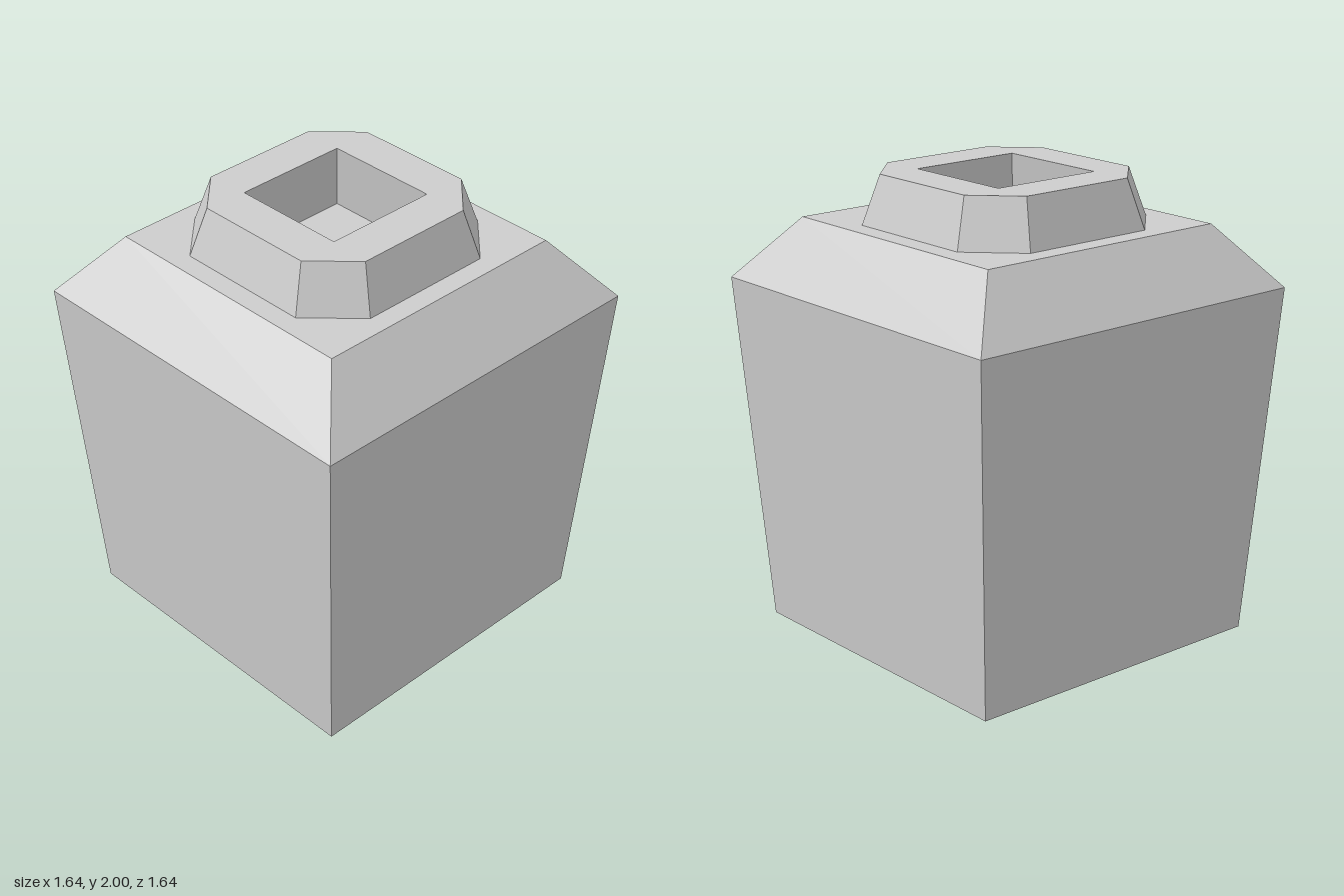
import * as THREE from 'three';

const grey = new THREE.MeshStandardMaterial({ color: 0xcccccc, flatShading: true });
grey.name = 'plain grey';

function part(name, geometry) {
  const flat = geometry.index ? geometry.toNonIndexed() : geometry;
  flat.computeVertexNormals();
  const mesh = new THREE.Mesh(flat, grey);
  mesh.name = name;
  return mesh;
}

// Square-plan solid from a profile of [half width, height]
function squareLathe(profile) {
  const points = profile.map(([w, y]) => new THREE.Vector2(w * Math.SQRT2, y));
  return new THREE.LatheGeometry(points, 4, Math.PI / 4);
}

// Square with cut corners: a = half width, b = half length of each flat side
function octagon(a, b) {
  return [[a, b], [b, a], [-b, a], [-a, b], [-a, -b], [-b, -a], [b, -a], [a, -b]];
}

// Sloping sides between two octagons
function octagonSides(lower, yLow, upper, yHigh) {
  const positions = [];
  for (let i = 0; i < 8; i++) {
    const j = (i + 1) % 8;
    const p = [lower[i][0], yLow, lower[i][1]];
    const q = [lower[j][0], yLow, lower[j][1]];
    const r = [upper[j][0], yHigh, upper[j][1]];
    const s = [upper[i][0], yHigh, upper[i][1]];
    positions.push(...p, ...r, ...q, ...p, ...s, ...r);
  }
  const geometry = new THREE.BufferGeometry();
  geometry.setAttribute('position', new THREE.Float32BufferAttribute(positions, 3));
  return geometry;
}

export function createModel() {
  const model = new THREE.Group();
  model.name = 'jar';
  const baseY = 1.79, topY = 2, hole = 0.257, wellFloor = 0.3;

  // Tapered body with sloped shoulders, open beneath the neck
  model.add(part('body', squareLathe([[0, 0], [0.72, 0], [0.82, 1.525], [0.6, baseY], [0.3, baseY]])));

  // Neck with cut corners
  const rim = octagon(0.443, 0.27);
  const neck = new THREE.Group();
  neck.name = 'neck';
  neck.add(part('neckSides', octagonSides(octagon(0.51, 0.308), baseY, rim, topY)));

  // Flat rim around the square opening
  const toPoints = (list) => list.map(([x, z]) => new THREE.Vector2(x, z));
  const shape = new THREE.Shape(toPoints(rim));
  shape.holes.push(new THREE.Path(toPoints([[hole, hole], [hole, -hole], [-hole, -hole], [-hole, hole]])));
  const rimFace = new THREE.ShapeGeometry(shape);
  rimFace.rotateX(-Math.PI / 2).translate(0, topY, 0);
  neck.add(part('neckRim', rimFace));

  // Inside of the opening, widening down to its floor
  neck.add(part('well', squareLathe([[hole, topY], [wellFloor, 1.7], [0, 1.7]])));
  model.add(neck);
  return model;
}
